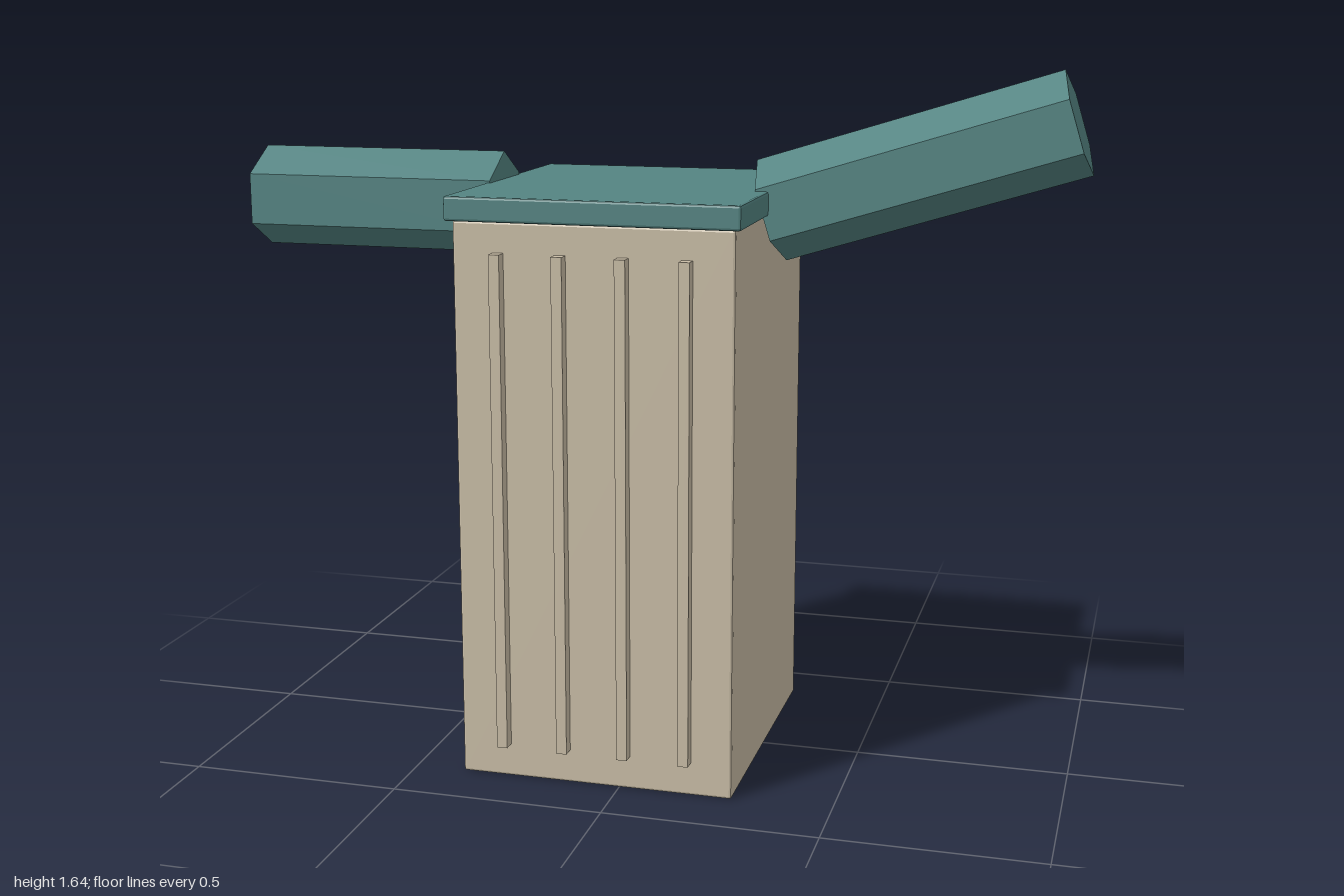
import * as THREE from 'three';
import { RoundedBoxGeometry } from 'three/addons/geometries/RoundedBoxGeometry.js';

export function createModel() {
  const model = new THREE.Group();
  model.name = 'ductUnit';
  const beige = new THREE.MeshStandardMaterial({ name: 'beige', color: 0xc9bda6, flatShading: true });
  const teal = new THREE.MeshStandardMaterial({ name: 'teal', color: 0x548482, flatShading: true });
  const zMid = -0.006;

  const add = (name, geometry, material, x, y, z) => {
    const mesh = new THREE.Mesh(geometry, material);
    mesh.name = name;
    mesh.position.set(x, y, z);
    model.add(mesh);
    return mesh;
  };

  // Cabinet and lid, with fine bevels
  add('cabinet', new RoundedBoxGeometry(0.65, 1.31, 0.72, 1, 0.006), beige, -0.057, 0.655, zMid);
  add('lid', new RoundedBoxGeometry(0.68, 0.056, 0.754, 1, 0.006), teal, -0.057, 1.337, zMid);

  // Vertical ribs on the front
  for (let i = 0; i < 4; i++) {
    add('frontRib', new THREE.BoxGeometry(0.025, 1.16, 0.035), beige, -0.275 + i * 0.145, 0.66, 0.366);
  }

  // Hexagonal ducts, one corner edge facing up
  const duct = (name, x, y, length, angle) => {
    const geometry = new THREE.CylinderGeometry(0.121, 0.121, length, 6, 1, false, Math.PI / 2);
    geometry.rotateZ(-Math.PI / 2);
    add(name, geometry, teal, x, y, zMid).rotation.z = angle;
  };
  duct('rightDuct', -0.692, 1.31, 0.616, 0);
  duct('leftDuct', 0.614, 1.418, 0.722, THREE.MathUtils.degToRad(17.3));

  return model;
}
